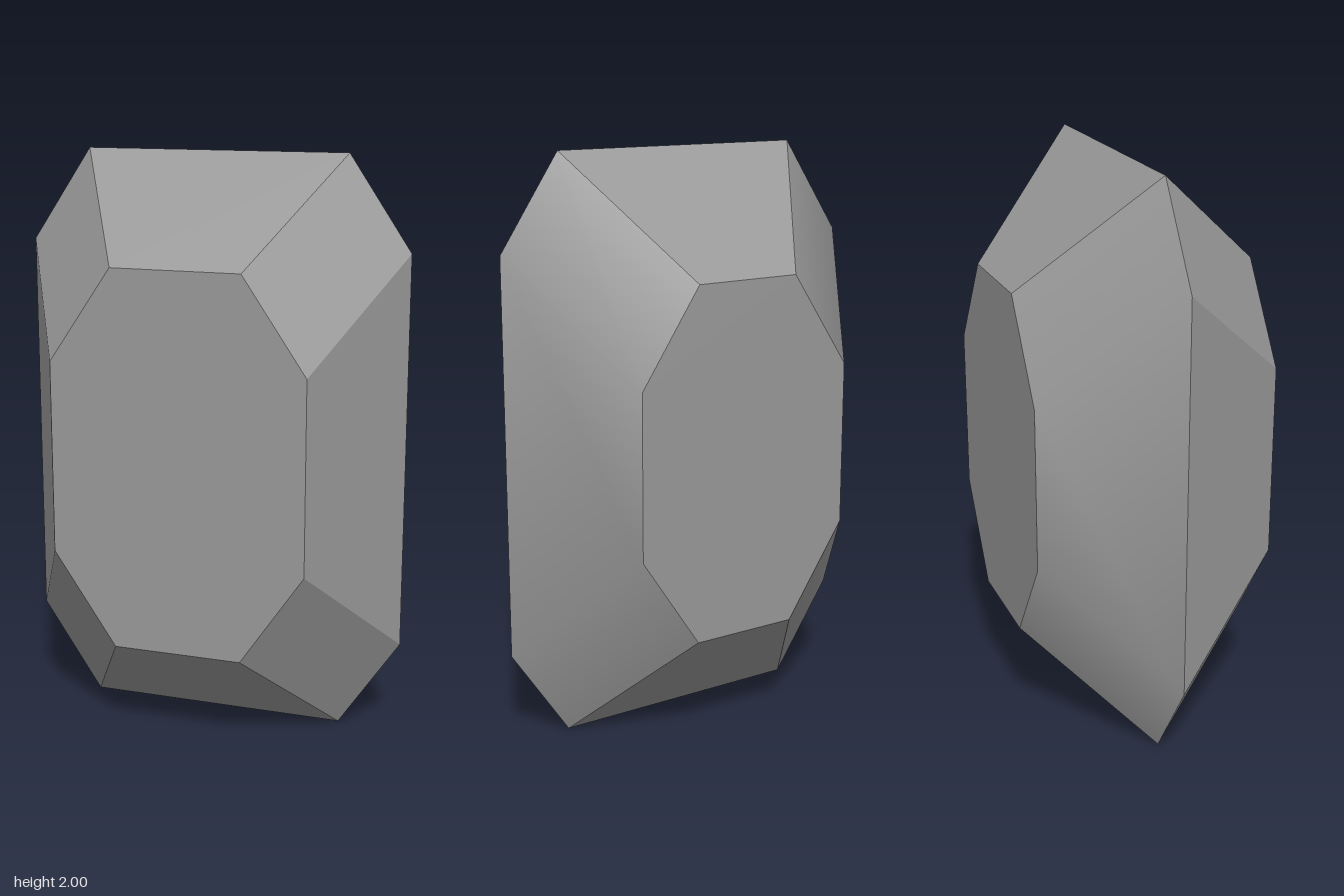
import * as THREE from 'three';

// Bevelled rectangle, anticlockwise seen from the front, centred on y = 1
function octagon(topHalf, sideHalf, topY, sideY, z) {
  return [
    [topHalf, topY], [-topHalf, topY], [-sideHalf, sideY], [-sideHalf, -sideY],
    [-topHalf, -topY], [topHalf, -topY], [sideHalf, -sideY], [sideHalf, sideY],
  ].map(([x, y]) => new THREE.Vector3(x, y + 1, z));
}

// Geometry from convex polygons, each fanned into triangles.
// When smooth, a corner's normal is the even average of the facets sharing it.
function facets(polygons, smooth) {
  const faceNormals = polygons.map(([a, b, c]) =>
    new THREE.Triangle(a, b, c).getNormal(new THREE.Vector3()));
  const points = [];
  const normals = [];
  polygons.forEach((polygon, f) => {
    const corner = (point) => {
      const normal = new THREE.Vector3();
      polygons.forEach((other, g) => {
        if (g === f || (smooth && other.includes(point))) normal.add(faceNormals[g]);
      });
      points.push(point);
      normals.push(...normal.normalize());
    };
    for (let i = 1; i < polygon.length - 1; i++) {
      [polygon[0], polygon[i], polygon[i + 1]].forEach(corner);
    }
  });
  const geometry = new THREE.BufferGeometry().setFromPoints(points);
  geometry.setAttribute('normal', new THREE.Float32BufferAttribute(normals, 3));
  return geometry;
}

export function createModel() {
  const group = new THREE.Group();
  group.name = 'gem';
  const material = new THREE.MeshStandardMaterial({ color: 0x9a9a9a });
  const add = (name, polygons, smooth = false) => {
    const mesh = new THREE.Mesh(facets(polygons, smooth), material);
    mesh.name = name;
    group.add(mesh);
  };

  // Cross-sections: front table, widest girdle, smaller back table
  const front = octagon(0.222, 0.44, 0.648, 0.328, 0.41);
  const girdle = octagon(0.46, 0.675, 1, 0.68, 0);
  const back = octagon(0.19, 0.405, 0.6, 0.28, -0.41);

  const next = (i) => (i + 1) % 8;
  const frontFacet = (i) => [girdle[i], girdle[next(i)], front[next(i)], front[i]];
  const backFacet = (i) => [girdle[next(i)], girdle[i], back[i], back[next(i)]];

  // Flat tables and sharp front bevels
  add('frontTable', [front]);
  add('backTable', [[...back].reverse()]);
  add('frontBevels', [0, 1, 2, 3, 4, 5, 6, 7].map(frontFacet));

  // Back bevels: sharp at top and bottom, softly shaded round each side
  add('backTopBevel', [backFacet(0)]);
  add('backBottomBevel', [backFacet(4)]);
  add('backRightBevels', [1, 2, 3].map(backFacet), true);
  add('backLeftBevels', [5, 6, 7].map(backFacet), true);
  return group;
}
